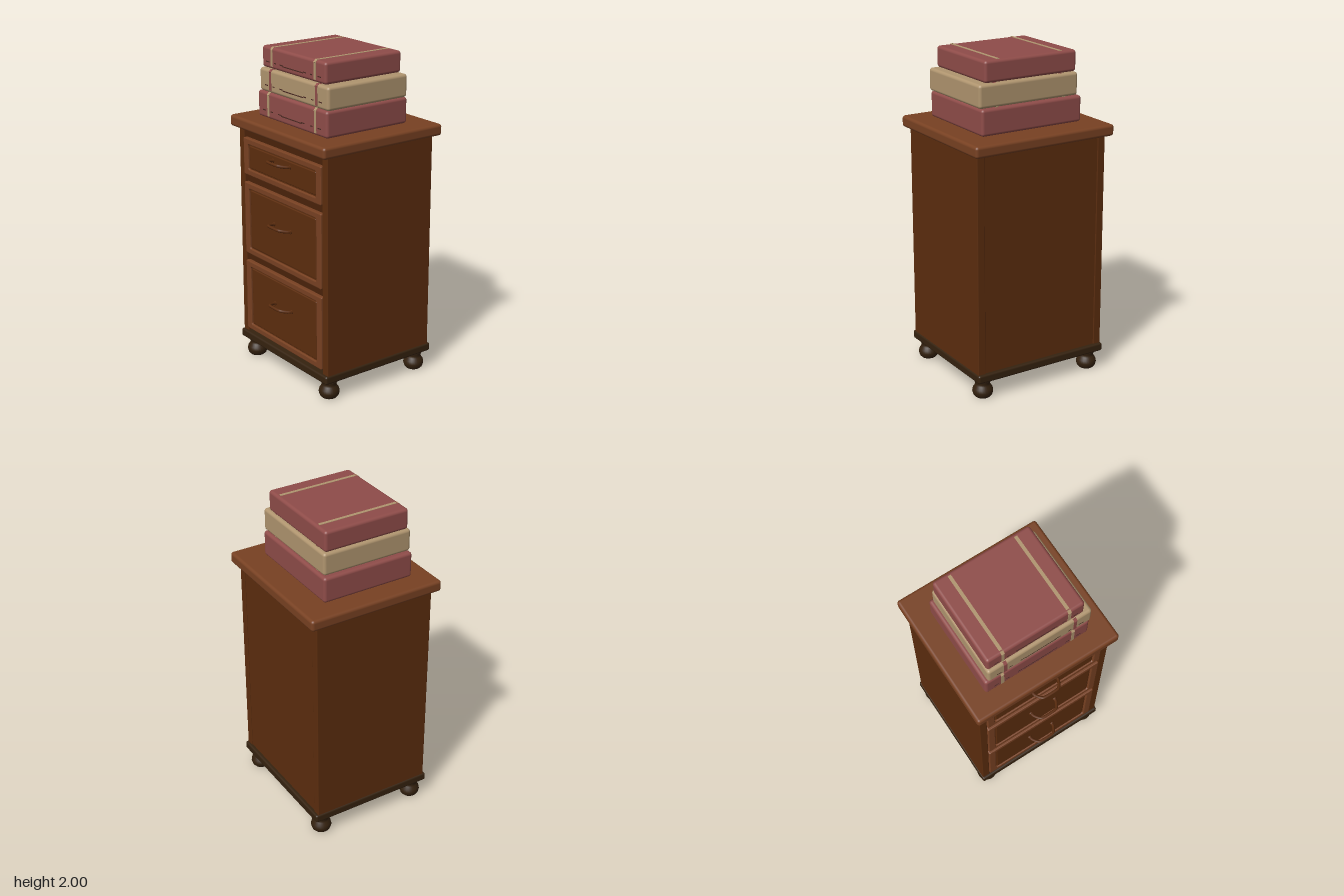
import * as THREE from 'three';
import { RoundedBoxGeometry } from 'three/addons/geometries/RoundedBoxGeometry.js';

const mat = (name, color) => {
  const m = new THREE.MeshStandardMaterial({ color });
  m.name = name;
  return m;
};

export function createModel() {
  const lightWood = mat('lightWood', 0x784122);
  const wood = mat('wood', 0x5c2d0e);
  const darkWood = mat('darkWood', 0x35220f);
  const red = mat('redCloth', 0x8f4c49);
  const beige = mat('beigeCloth', 0xb0956f);
  const ink = mat('darkCrease', 0x4a2a22);

  const model = new THREE.Group();
  model.name = 'bedsideCabinetWithBooks';
  // The whole piece stands turned on its base
  const turned = new THREE.Group();
  turned.name = 'cabinet';
  turned.rotation.y = -0.407;
  model.add(turned);

  const add = (parent, name, geo, material, x = 0, y = 0, z = 0) => {
    const mesh = new THREE.Mesh(geo, material);
    mesh.name = name;
    mesh.position.set(x, y, z);
    parent.add(mesh);
    return mesh;
  };
  const slab = (parent, name, w, h, d, r, material, x, y, z) =>
    add(parent, name, new RoundedBoxGeometry(w, h, d, 3, r), material, x, y, z);

  // Carcass, open at the front behind the drawers
  slab(turned, 'top', 0.947, 0.07, 0.867, 0.018, lightWood, 0, 1.535, 0);
  slab(turned, 'base', 0.896, 0.052, 0.806, 0.012, darkWood, 0, 0.141, 0);
  for (const s of [-1, 1]) {
    slab(turned, 'sidePanel', 0.05, 1.35, 0.772, 0.005, wood, s * 0.416, 0.835, 0);
  }
  add(turned, 'backPanel', new THREE.BoxGeometry(0.79, 1.35, 0.03), wood, 0, 0.835, -0.365);

  // Turned bun feet
  const footProfile = [
    [0, 0], [0.045, 0], [0.056, 0.012], [0.063, 0.035], [0.059, 0.055],
    [0.047, 0.073], [0.043, 0.085], [0.05, 0.1], [0.053, 0.12], [0, 0.12],
  ].map(([x, y]) => new THREE.Vector2(x, y));
  const footGeo = new THREE.LatheGeometry(footProfile, 28);
  for (const x of [-0.379, 0.379]) {
    for (const z of [-0.329, 0.329]) add(turned, 'foot', footGeo, darkWood, x, 0, z);
  }

  // Rounded rectangle outline for the drawer frames
  const outline = (target, w, h, r) => {
    const x = w / 2, y = h / 2;
    target.moveTo(-x + r, -y);
    target.lineTo(x - r, -y);
    target.quadraticCurveTo(x, -y, x, -y + r);
    target.lineTo(x, y - r);
    target.quadraticCurveTo(x, y, x - r, y);
    target.lineTo(-x + r, y);
    target.quadraticCurveTo(-x, y, -x, y - r);
    target.lineTo(-x, -y + r);
    target.quadraticCurveTo(-x, -y, -x + r, -y);
    return target;
  };

  // Bow handle shared by the drawers
  const handlePath = new THREE.CatmullRomCurve3([
    [-0.085, -0.008, 0], [-0.08, -0.006, 0.025], [-0.05, 0.003, 0.065],
    [0.05, 0.003, 0.065], [0.08, -0.006, 0.025], [0.085, -0.008, 0],
  ].map((p) => new THREE.Vector3(...p)), false, 'catmullrom', 0.3);
  const handleGeo = new THREE.TubeGeometry(handlePath, 32, 0.009, 8);

  // Drawers: framed front, recessed panel, handle
  for (const [bottom, top] of [[0.19, 0.65], [0.7, 1.16], [1.21, 1.44]]) {
    const drawer = new THREE.Group();
    drawer.name = 'drawer';
    const h = top - bottom;
    drawer.position.set(0, (bottom + top) / 2, 0.37);
    turned.add(drawer);

    const bevel = 0.006;
    const shape = outline(new THREE.Shape(), 0.779 - 2 * bevel, h - 2 * bevel, 0.003);
    shape.holes.push(outline(new THREE.Path(), 0.682 + 2 * bevel, h - 0.074 + 2 * bevel, 0.018));
    const frame = new THREE.ExtrudeGeometry(shape, {
      depth: 0.018, bevelEnabled: true, bevelThickness: bevel, bevelSize: bevel,
      bevelSegments: 2, curveSegments: 6,
    });
    add(drawer, 'drawerFrame', frame, lightWood, 0, 0, 0);
    add(drawer, 'drawerPanel', new THREE.BoxGeometry(0.74, h - 0.04, 0.016), wood, 0, 0, 0.003);
    slab(drawer, 'raisedPanel', 0.664, h - 0.092, 0.02, 0.006, wood, 0, 0, 0.008);
    add(drawer, 'handle', handleGeo, wood, 0, 0.045, 0.018);
    for (const s of [-1, 1]) {
      const mount = add(drawer, 'handleMount', new THREE.CylinderGeometry(0.013, 0.013, 0.01, 12),
        wood, s * 0.085, 0.037, 0.021);
      mount.rotation.x = Math.PI / 2;
    }
  }

  // Stack of books, spines to the front
  const books = [
    { w: 0.684, d: 0.588, y0: 1.57, y1: 1.73, x: -0.01, z: 0.015, cover: red, band: beige, s: 0.232 },
    { w: 0.674, d: 0.576, y0: 1.73, y1: 1.87, x: 0.002, z: 0.025, cover: beige, band: red, s: 0.226 },
    { w: 0.624, d: 0.548, y0: 1.87, y1: 2.0, x: -0.015, z: 0.015, cover: red, band: beige, s: 0.212 },
  ];
  for (const b of books) {
    const book = new THREE.Group();
    book.name = 'book';
    book.position.set(b.x, (b.y0 + b.y1) / 2, b.z);
    book.rotation.y = turned.rotation.y;
    model.add(book);
    const h = b.y1 - b.y0 - 0.002;
    slab(book, 'cover', b.w, h, b.d, 0.018, b.cover, 0, 0, 0);

    // Bands run over the cover and down the spine
    for (const s of [-1, 1]) {
      const strip = (name, hh, dd, y, z) =>
        add(book, name, new THREE.BoxGeometry(0.02, hh, dd), b.band, s * b.s, y, z);
      strip('coverBand', 0.003, b.d - 0.04, h / 2, 0);
      strip('spineBand', h - 0.03, 0.004, 0, b.d / 2);
      const corner = strip('bandCorner', 0.004, 0.023, h / 2 - 0.0055, b.d / 2 - 0.0055);
      corner.rotation.x = Math.PI / 4;
    }

    // Fine creases low on the spine
    const crease = (x, w, y) =>
      add(book, 'spineCrease', new THREE.BoxGeometry(w, 0.006, 0.003), ink, x, y, b.d / 2);
    const low = -h * 0.2;
    crease(0, 0.2, low - 0.005);
    for (const s of [-1, 1]) {
      crease(s * 0.115, 0.03, low);
      crease(s * (b.s + 0.04), 0.03, low);
      crease(s * (b.s - 0.035), 0.02, low);
    }
  }
  return model;
}
